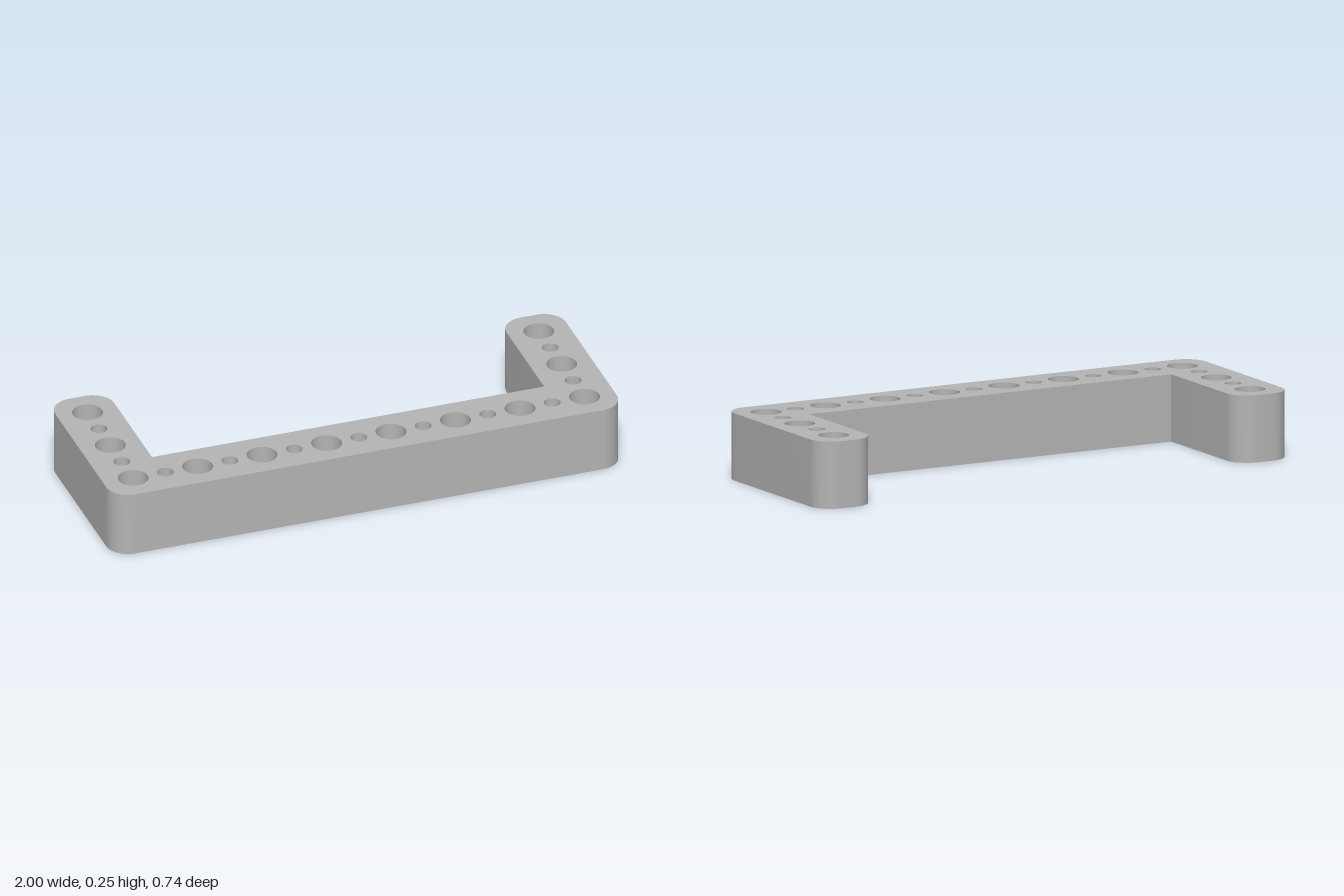
import * as THREE from 'three';
import { toCreasedNormals } from 'three/addons/utils/BufferGeometryUtils.js';

const HEIGHT = 0.253;
const PITCH = 0.2525;      // spacing of the large holes
const D = 0.368;           // half depth
const INNER_X = 0.768;     // inner face of the arms
const INNER_Y = -0.133;    // inner face of the bar
const R = 0.085;           // outer corner radius

// U-shaped outline, drawn in x and -z
function outline() {
  const s = new THREE.Shape();
  const corner = (x, y, a) => s.absarc(x, y, R, a, a + Math.PI / 2, false);
  corner(-1 + R, -D + R, Math.PI);
  corner(1 - R, -D + R, -Math.PI / 2);
  corner(1 - R, D - R, 0);
  corner(INNER_X + R, D - R, Math.PI / 2);
  s.lineTo(INNER_X, INNER_Y);
  s.lineTo(-INNER_X, INNER_Y);
  corner(-INNER_X - R, D - R, 0);
  corner(-1 + R, D - R, Math.PI / 2);
  s.closePath();
  return s;
}

export function createModel() {
  const group = new THREE.Group();
  group.name = 'bracket';
  const grey = new THREE.MeshStandardMaterial({ color: 0xb4b4b4 });
  grey.name = 'grey';

  const shape = outline();
  const addHole = (x, y, large) => {
    const hole = new THREE.Path();
    hole.absarc(x, y, large ? 0.057 : 0.031, 0, Math.PI * 2, true);
    shape.holes.push(hole);
  };

  // Alternating large and small holes along the bar
  for (let i = -7; i <= 7; i++) addHole(i * PITCH / 2, -PITCH, i % 2 !== 0);
  // Alternating holes along both arms
  for (const side of [-1, 1]) {
    for (let j = -1; j <= 2; j++) addHole(side * 3.5 * PITCH, j * PITCH / 2, j % 2 === 0);
  }

  const solid = new THREE.ExtrudeGeometry(shape, { depth: HEIGHT, bevelEnabled: false, curveSegments: 16 });
  solid.rotateX(-Math.PI / 2);
  const mesh = new THREE.Mesh(toCreasedNormals(solid, Math.PI / 6), grey);
  mesh.name = 'perforatedFrame';
  group.add(mesh);
  return group;
}
